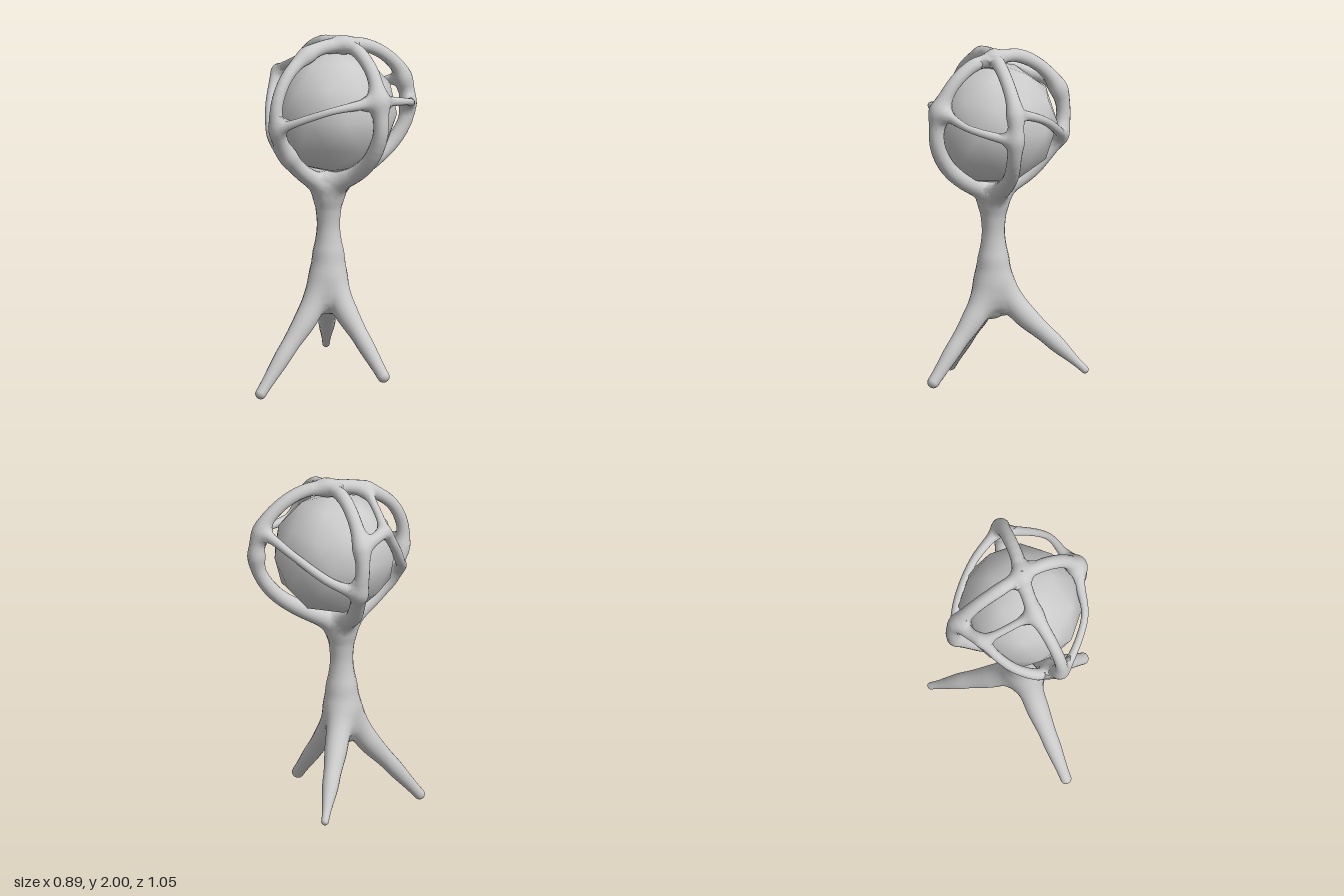
import * as THREE from 'three';

const material = new THREE.MeshStandardMaterial({ color: 0xcccccc });
const BLEND = 0.024; // width of the fillets where limbs meet
const REACH = 0.13; // furthest a skin vertex may lie from its limb's axis

function add(parent, name, geometry) {
  const mesh = new THREE.Mesh(geometry, material);
  mesh.name = name;
  parent.add(mesh);
  return mesh;
}

// A limb is a curve with a radius, sampled as short tapered pieces [x, y, z, r]
function makeLimb(parent, name, points) {
  const curve = new THREE.CatmullRomCurve3(points.map(([x, y, z]) => new THREE.Vector3(x, y, z)));
  const samples = [];
  const count = 28;
  for (let i = 0; i <= count; i++) {
    const p = curve.getPointAt(i / count);
    const t = curve.getUtoTmapping(i / count) * (points.length - 1);
    const k = Math.min(Math.floor(t), points.length - 2);
    const r = THREE.MathUtils.lerp(points[k][3], points[k + 1][3], THREE.MathUtils.smoothstep(t - k, 0, 1));
    samples.push([p.x, p.y, p.z, r]);
  }
  return { parent, name, curve, samples };
}

// Distance from a point to one limb
function limbDistance(samples, x, y, z) {
  let best = Infinity;
  for (let i = 1; i < samples.length; i++) {
    const a = samples[i - 1];
    const b = samples[i];
    const dx = b[0] - a[0], dy = b[1] - a[1], dz = b[2] - a[2];
    const px = x - a[0], py = y - a[1], pz = z - a[2];
    const h = Math.min(1, Math.max(0, (px * dx + py * dy + pz * dz) / (dx * dx + dy * dy + dz * dz)));
    const ex = px - dx * h, ey = py - dy * h, ez = pz - dz * h;
    best = Math.min(best, Math.sqrt(ex * ex + ey * ey + ez * ez) - a[3] - (b[3] - a[3]) * h);
  }
  return best;
}

// Distance to all limbs, smoothly merged
function skinDistance(limbs, x, y, z) {
  let sum = 0;
  for (const limb of limbs) sum += Math.exp(-limbDistance(limb.samples, x, y, z) / BLEND);
  return -BLEND * Math.log(sum);
}

// Tube around a limb, its vertices pushed out to the merged skin
function skinLimb(limb, limbs) {
  const segments = 52;
  const sides = 16;
  const geometry = new THREE.TubeGeometry(limb.curve, segments, 1, sides, false);
  const pos = geometry.attributes.position;
  const nor = geometry.attributes.normal;
  const n = new THREE.Vector3();
  const p = new THREE.Vector3();
  const slope = (x, y, z) => skinDistance(limbs, p.x + x, p.y + y, p.z + z) - skinDistance(limbs, p.x - x, p.y - y, p.z - z);
  for (let i = 0; i <= segments; i++) {
    const centre = limb.curve.getPointAt(i / segments);
    for (let j = 0; j <= sides; j++) {
      const v = i * (sides + 1) + j;
      n.fromBufferAttribute(nor, v);
      let s = 0;
      for (let step = 0; step < 14 && s < REACH; step++) {
        p.copy(centre).addScaledVector(n, s);
        const d = skinDistance(limbs, p.x, p.y, p.z);
        if (d > -0.0003) break;
        s = Math.min(REACH, s - d);
      }
      p.copy(centre).addScaledVector(n, s);
      pos.setXYZ(v, p.x, p.y, p.z);
      const e = 0.012;
      n.set(slope(e, 0, 0), slope(0, e, 0), slope(0, 0, e)).normalize();
      nor.setXYZ(v, n.x, n.y, n.z);
    }
  }
  geometry.computeBoundingSphere();
  add(limb.parent, limb.name, geometry);
}

export function createModel() {
  const model = new THREE.Group();
  model.name = 'cagedOrbOnLegs';
  const cage = new THREE.Group();
  cage.name = 'cage';
  model.add(cage);
  const limbs = [];
  const limb = (parent, name, points) => limbs.push(makeLimb(parent, name, points));

  // Waisted trunk, closing to a point between the legs
  limb(model, 'trunk', [[0, 1.16, 0, 0.06], [0, 1.09, 0, 0.076], [0, 1.02, 0, 0.068], [0, 0.93, 0, 0.064],
    [0, 0.83, 0, 0.069], [0, 0.73, 0, 0.076], [0, 0.63, 0, 0.085], [0, 0.55, 0, 0.085], [0, 0.5, 0, 0.066], [0, 0.43, 0, 0.008]]);

  // Three straight, splayed legs with rounded feet
  const feet = { frontLeg: [0, 0.032, 0.49, 0.031], leftLeg: [0.413, 0.123, -0.055, 0.034], backLeg: [-0.405, 0.148, -0.32, 0.021] };
  for (const [name, [x, y, z, r]] of Object.entries(feet)) {
    const leg = new THREE.Group();
    leg.name = name;
    model.add(leg);
    const along = (t, h, radius) => [x * t, h, z * t, radius];
    const at = (t, radius) => along(t, 0.61 + (y - 0.61) * t, radius);
    limb(leg, name + 'Limb', [along(0, 0.76, 0.045), along(0.1, 0.62, 0.066), at(0.3, 0.065), at(0.62, 0.048), at(1, r)]);
    const foot = add(leg, name + 'Foot', new THREE.SphereGeometry(r, 16, 12));
    foot.position.set(x, y, z);
  }

  // Coarse ball held in the cage, one corner straight up
  const ball = new THREE.IcosahedronGeometry(0.348, 1);
  ball.rotateZ(-Math.atan(2 / (1 + Math.sqrt(5))));
  ball.rotateY(THREE.MathUtils.degToRad(-11));
  add(model, 'orb', ball).position.set(0.01, 1.565, -0.04);

  // Four main ribs from trunk to crown
  const root = [0, 1.1, 0, 0.03];
  const crown = [0.035, 1.947, -0.075, 0.021];
  limb(cage, 'rightRib', [root, [-0.08, 1.18, -0.01, 0.052], [-0.2, 1.245, -0.03, 0.046],
    [-0.3, 1.35, -0.06, 0.043], [-0.38, 1.48, -0.085, 0.041], [-0.402, 1.59, -0.08, 0.039], [-0.375, 1.72, -0.075, 0.041],
    [-0.26, 1.865, -0.065, 0.037], [-0.11, 1.945, -0.06, 0.038], crown]);
  limb(cage, 'leftRib', [root, [0.08, 1.178, -0.01, 0.052], [0.2, 1.245, -0.04, 0.046],
    [0.32, 1.35, -0.05, 0.044], [0.39, 1.5, -0.055, 0.043], [0.375, 1.67, -0.055, 0.041],
    [0.3, 1.825, -0.07, 0.038], [0.17, 1.927, -0.075, 0.038], crown]);
  limb(cage, 'frontRib', [root, [0, 1.175, 0.08, 0.052], [0, 1.25, 0.19, 0.046],
    [0.005, 1.36, 0.3, 0.043], [0.02, 1.51, 0.388, 0.037], [0.022, 1.65, 0.395, 0.034], [0.01, 1.8, 0.315, 0.034],
    [-0.005, 1.912, 0.15, 0.037], [0.01, 1.945, 0.03, 0.038], crown]);
  limb(cage, 'backRib', [root, [0.015, 1.173, -0.09, 0.052], [0.05, 1.24, -0.22, 0.046],
    [0.09, 1.35, -0.37, 0.042], [0.12, 1.48, -0.455, 0.04], [0.12, 1.61, -0.477, 0.037], [0.11, 1.76, -0.437, 0.039],
    [0.09, 1.885, -0.31, 0.037], [0.065, 1.942, -0.18, 0.037], crown]);

  // Thin struts tying the ribs together
  limb(cage, 'frontLeftStrut', [[0.025, 1.515, 0.388, 0.028], [0.09, 1.55, 0.372, 0.022], [0.275, 1.64, 0.215, 0.02],
    [0.335, 1.665, 0.06, 0.026], [0.375, 1.68, -0.055, 0.032]]);
  limb(cage, 'backLeftStrut', [[0.375, 1.68, -0.055, 0.032], [0.355, 1.665, -0.15, 0.026], [0.33, 1.64, -0.3, 0.02],
    [0.21, 1.6, -0.42, 0.024], [0.12, 1.58, -0.47, 0.03]]);
  limb(cage, 'backRightStrut', [[0.11, 1.72, -0.445, 0.03], [0.02, 1.7, -0.42, 0.026], [-0.12, 1.64, -0.365, 0.023],
    [-0.29, 1.52, -0.23, 0.026], [-0.38, 1.45, -0.09, 0.032]]);
  limb(cage, 'lowerFrontStrut', [[-0.375, 1.72, -0.07, 0.03], [-0.355, 1.75, 0.02, 0.03], [-0.317, 1.765, 0.1, 0.029],
    [-0.27, 1.66, 0.185, 0.027], [-0.19, 1.53, 0.265, 0.028], [-0.08, 1.44, 0.325, 0.032], [0, 1.35, 0.29, 0.03]]);
  limb(cage, 'upperFrontStrut', [[-0.317, 1.768, 0.1, 0.016], [-0.24, 1.81, 0.12, 0.022], [-0.1, 1.872, 0.14, 0.022],
    [-0.005, 1.907, 0.15, 0.028]]);

  limbs.forEach((one) => skinLimb(one, limbs));
  return model;
}
